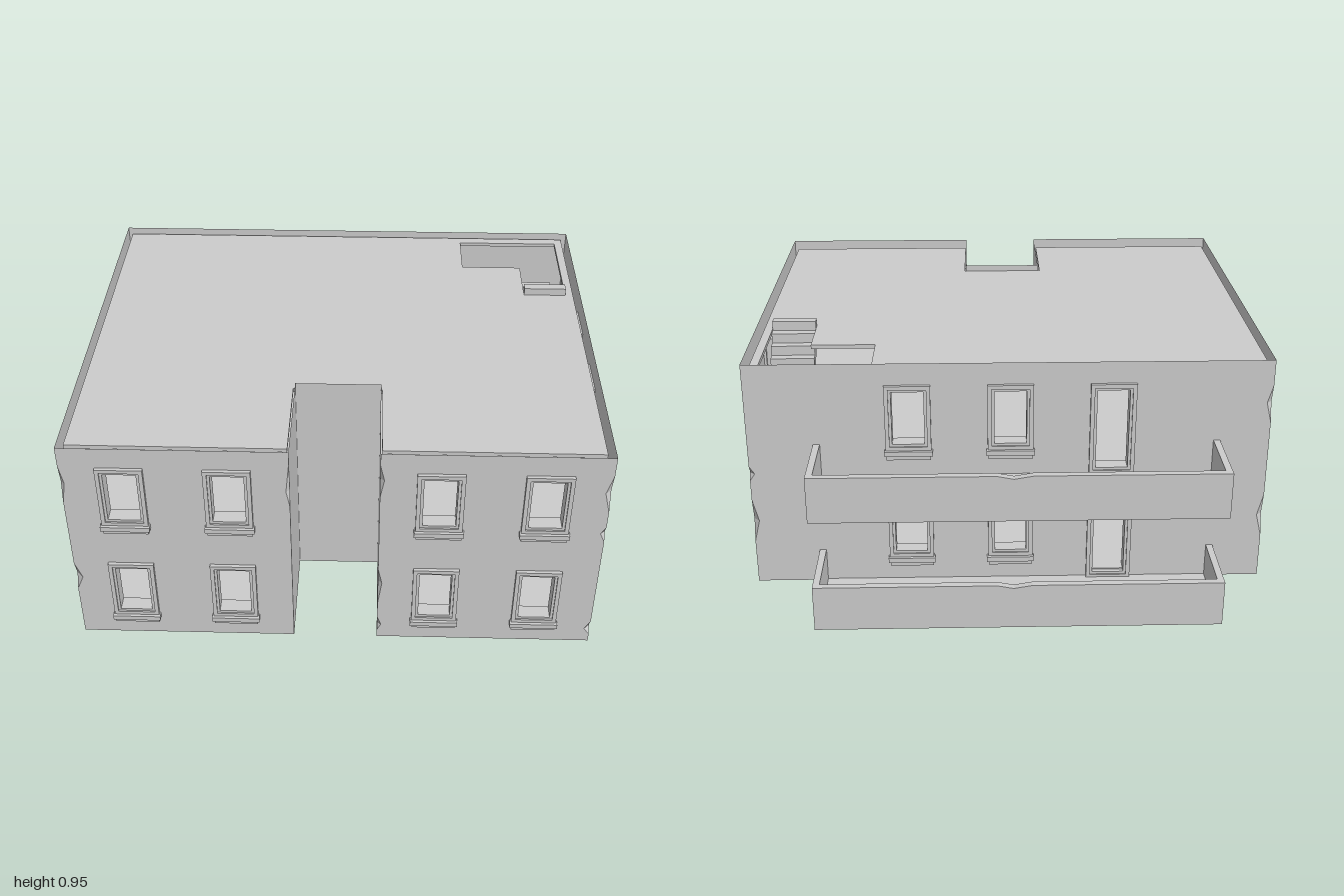
import * as THREE from 'three';

const mat = new THREE.MeshStandardMaterial({ color: 0xcccccc, flatShading: true, side: THREE.DoubleSide });
const Y0 = 0.045, Y1 = 0.95, STOREY = 0.455;

function add(parent, name, geo, x = 0, y = 0, z = 0) {
  const m = new THREE.Mesh(geo, mat);
  m.name = name;
  m.position.set(x, y, z);
  parent.add(m);
  return m;
}
const box = (p, name, w, h, d, x, y, z) => add(p, name, new THREE.BoxGeometry(w, h, d), x, y, z);
const poly = (pts, C = THREE.Shape) => new C(pts.map(([x, y]) => new THREE.Vector2(x, y)));
const rect = (x0, y0, x1, y1, C) => poly([[x0, y0], [x1, y0], [x1, y1], [x0, y1]], C);
const extrude = (shape, depth) => new THREE.ExtrudeGeometry(shape, { depth, bevelEnabled: false });

// Hollow rectangular frame around the opening (x half width w, y from b to t)
function ring(p, name, w, b, t, border, zBack, zFront) {
  const s = rect(-w - border, b - border, w + border, t + border);
  s.holes.push(rect(-w, b, w, t, THREE.Path));
  add(p, name, extrude(s, zFront - zBack), 0, 0, zBack);
}

function windowUnit(isDoor) {
  const g = new THREE.Group();
  g.name = isDoor ? 'doorFrame' : 'windowFrame';
  const b = isDoor ? 0.07 : 0.175, t = 0.385;
  ring(g, 'reveal', 0.06, b, t, 0.013, -0.05, 0.008);
  ring(g, 'trim', 0.07, b - 0.01, t + 0.01, 0.015, -0.01, 0.014);
  if (!isDoor) {
    box(g, 'sill', 0.18, 0.02, 0.075, 0, 0.141, -0.012);
    box(g, 'sillMoulding', 0.166, 0.018, 0.05, 0, 0.122, -0.01);
  }
  return g;
}

// Footprint corners [x, z], each with its chips [low, apex, high, depth]
const corners = [
  { p: [-0.975, 0.92], chips: [[0.27, 0.33, 0.4, 0.025], [0.7, 0.79, 0.87, 0.015]] },
  { p: [-0.16, 0.92], chips: [[0.7, 0.77, 0.9, 0.013]] },
  { p: [-0.16, 0.51], chips: [] },
  { p: [0.16, 0.51], chips: [] },
  { p: [0.16, 0.92], chips: [[0.08, 0.11, 0.15, 0.015], [0.22, 0.33, 0.4, 0.015], [0.75, 0.83, 0.9, 0.015]] },
  { p: [0.975, 0.92], chips: [[0.08, 0.11, 0.15, 0.022], [0.56, 0.6, 0.63, 0.018], [0.7, 0.79, 0.87, 0.022]] },
  { p: [0.975, -0.66], chips: [[0.22, 0.31, 0.4, 0.022], [0.48, 0.51, 0.54, 0.02]] },
  { p: [-0.975, -0.66], chips: [[0.22, 0.31, 0.4, 0.022], [0.7, 0.78, 0.85, 0.02]] },
];
// Window centres along each wall, in world x or z; doors listed apart
const openings = [
  { at: [-0.76, -0.38] }, {}, {}, {}, { at: [0.375, 0.755] },
  { at: [0.315, -0.065] }, { at: [0.375, -0.005], doors: [-0.385] }, { at: [0.315, -0.065] },
];

function buildWall(parent, i) {
  const a = corners[i], b = corners[(i + 1) % corners.length];
  const dx = b.p[0] - a.p[0], dz = b.p[1] - a.p[1], len = Math.hypot(dx, dz);
  const g = new THREE.Group();
  g.name = 'wall';
  g.position.set(a.p[0], 0, a.p[1]);
  g.rotation.y = Math.atan2(-dz, dx);
  parent.add(g);

  const pts = [[0, Y0], [len, Y0]];
  for (const [lo, mid, hi, d] of b.chips) pts.push([len, lo], [len - d, mid], [len, hi]);
  pts.push([len, Y1], [0, Y1]);
  for (const [lo, mid, hi, d] of [...a.chips].reverse()) pts.push([0, hi], [d, mid], [0, lo]);
  const shape = poly(pts);

  const start = Math.abs(dx) > Math.abs(dz) ? a.p[0] : a.p[1];
  const { at = [], doors = [] } = openings[i];
  for (const c of [...at, ...doors]) {
    const u = Math.abs(c - start), isDoor = doors.includes(c);
    for (const y of [0, STOREY]) {
      shape.holes.push(rect(u - 0.068, y + (isDoor ? 0.062 : 0.167), u + 0.068, y + 0.393, THREE.Path));
      const w = windowUnit(isDoor);
      w.position.set(u, y, 0);
      g.add(w);
    }
  }
  add(g, 'wallFace', new THREE.ShapeGeometry(shape));
}

// Two facets closing each chip in a corner
function buildChips(parent, i) {
  const n = corners.length, { p, chips } = corners[i];
  const toward = (q, d) => {
    const v = new THREE.Vector2(q[0] - p[0], q[1] - p[1]).setLength(d);
    return [p[0] + v.x, p[1] + v.y];
  };
  for (const [lo, mid, hi, d] of chips) {
    const A = toward(corners[(i + n - 1) % n].p, d), B = toward(corners[(i + 1) % n].p, d);
    const geo = new THREE.BufferGeometry();
    geo.setAttribute('position', new THREE.Float32BufferAttribute([
      p[0], lo, p[1], B[0], mid, B[1], A[0], mid, A[1],
      p[0], hi, p[1], A[0], mid, A[1], B[0], mid, B[1]], 3));
    geo.computeVertexNormals();
    add(parent, 'cornerChip', geo);
  }
}

// Floor plate with the entrance recess and an L-shaped stairwell (shape y = -z)
function buildSlab(parent, name, top) {
  const s = poly([[-0.957, -0.87], [-0.168, -0.87], [-0.168, -0.51], [0.165, -0.51], [0.165, -0.87],
    [0.952, -0.87], [0.952, 0.65], [-0.957, 0.65]]);
  s.holes.push(poly([[0.505, 0.61], [0.505, 0.4], [0.75, 0.4], [0.75, 0.18], [0.92, 0.18], [0.92, 0.61]], THREE.Path));
  const m = add(parent, name, extrude(s, 0.015), 0, top - 0.015, 0);
  m.rotation.x = -Math.PI / 2;
}

// Stepped flight with a sloping underside
function flight(parent, run, rise, width, steps = 6) {
  const pts = [[0, 0]];
  for (let k = 0; k < steps; k++) {
    const y = rise * (k + 1) / steps;
    pts.push([run * k / steps, y], [run * (k + 1) / steps, y]);
  }
  pts.push([run, rise - 0.055], [0.03, 0]);
  return add(parent, 'stairFlight', extrude(poly(pts), width));
}

function buildStair(parent, y) {
  const g = new THREE.Group();
  g.name = 'staircase';
  const half = STOREY / 2;
  flight(g, 0.205, half, 0.21).position.set(0.505, y, -0.61);
  box(g, 'stairLanding', 0.21, 0.02, 0.21, 0.815, y + half - 0.01, -0.505);
  const upper = flight(g, 0.22, half, 0.17);
  upper.position.set(0.92, y + half, -0.4);
  upper.rotation.y = -Math.PI / 2;
  parent.add(g);
}

function buildBalcony(parent, y) {
  const g = new THREE.Group();
  g.name = 'balcony';
  g.position.y = y;
  box(g, 'balconyFloor', 1.52, 0.05, 0.28, -0.03, 0.025, -0.8);
  // Front parapet with a small chip in its top edge
  const s = poly([[-0.79, 0], [0.73, 0], [0.73, 0.18], [0.05, 0.18], [-0.01, 0.168], [-0.08, 0.18], [-0.79, 0.18]]);
  add(g, 'balconyFront', extrude(s, 0.027), 0, 0, -0.94);
  for (const x of [-0.7775, 0.7175]) box(g, 'balconyEnd', 0.025, 0.18, 0.253, x, 0.09, -0.7865);
  parent.add(g);
}

export function createModel() {
  const model = new THREE.Group();
  model.name = 'building';
  corners.forEach((_, i) => { buildWall(model, i); buildChips(model, i); });
  buildSlab(model, 'groundFloor', 0.075);
  buildSlab(model, 'upperFloor', 0.5);
  buildSlab(model, 'roof', 0.925);
  for (const y of [0.045, 0.5]) buildStair(model, y);
  for (const y of [0, 0.45]) buildBalcony(model, y);
  return model;
}
